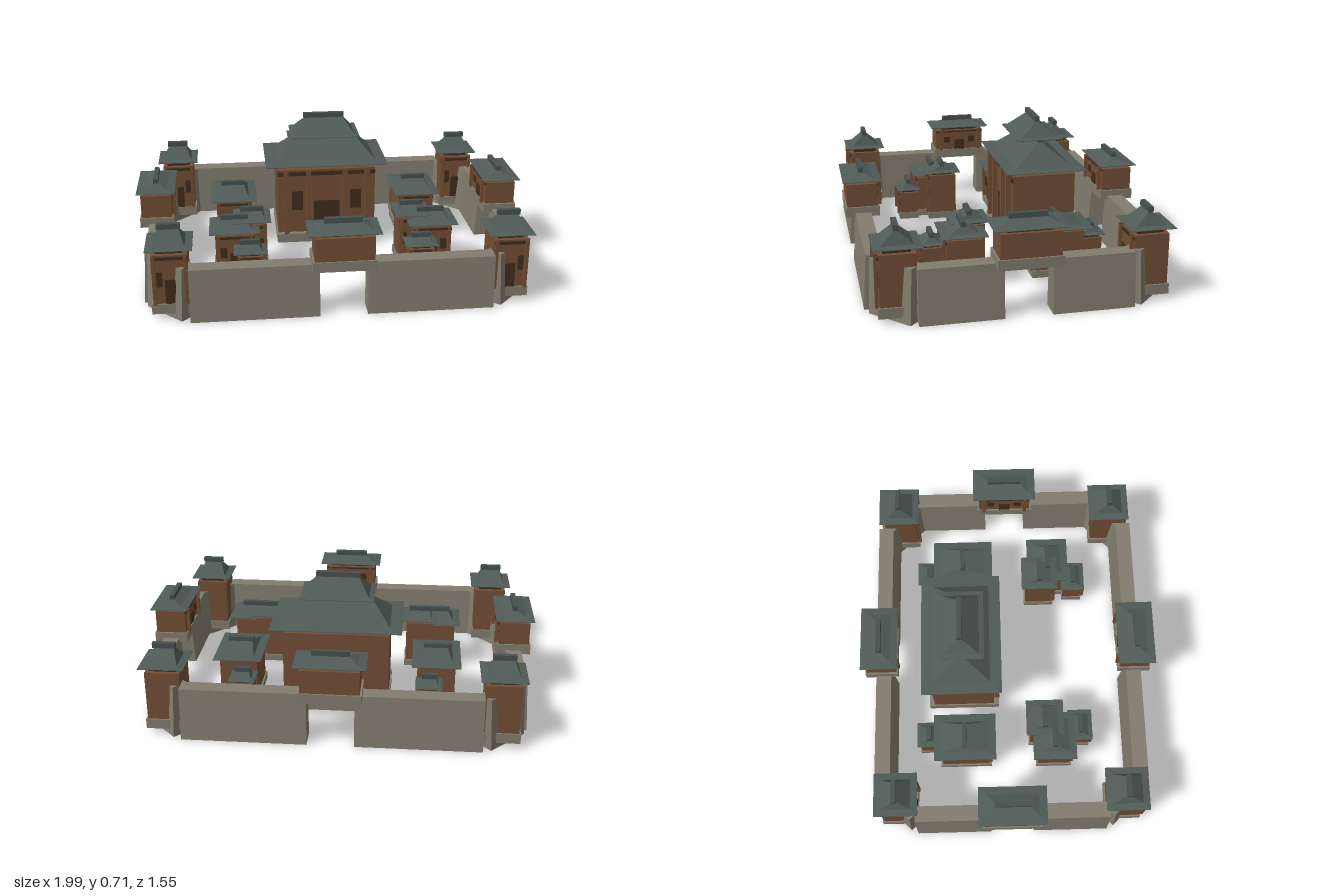
import * as THREE from 'three';

const mat = (name, color) => {
  const m = new THREE.MeshStandardMaterial({ color });
  m.name = name;
  return m;
};

export function createModel() {
  const stone = mat('stone', 0x827c6e);
  const timber = mat('timber', 0x724e35);
  const darkWood = mat('dark wood', 0x412c1d);
  const tile = mat('roof tile', 0x505b57);
  const ridgeTile = mat('ridge tile', 0x465050);
  const model = new THREE.Group();
  model.name = 'walledPalace';

  const add = (parent, name, geometry, material, x = 0, y = 0, z = 0) => {
    const mesh = new THREE.Mesh(geometry, material);
    mesh.name = name;
    mesh.position.set(x, y, z);
    parent.add(mesh);
    return mesh;
  };
  // Box given by its half width, half depth, bottom and top
  const box = (parent, name, hx, hz, y0, y1, material, x = 0, z = 0) =>
    add(parent, name, new THREE.BoxGeometry(hx * 2, y1 - y0, hz * 2), material, x, (y0 + y1) / 2, z);

  // Solid through stacked rectangles [half x, half z, y], with flat faces
  const loft = (rings) => {
    const pos = [];
    const loops = rings.map(([hx, hz, y]) => [[-hx, y, hz], [hx, y, hz], [hx, y, -hz], [-hx, y, -hz]]);
    const quad = (a, b, c, d) => pos.push(...a, ...b, ...c, ...a, ...c, ...d);
    for (let i = 0; i < loops.length - 1; i++) {
      for (let k = 0; k < 4; k++) {
        const n = (k + 1) % 4;
        quad(loops[i][k], loops[i][n], loops[i + 1][n], loops[i + 1][k]);
      }
    }
    quad(...loops[0].slice().reverse());
    quad(...loops[loops.length - 1]);
    const g = new THREE.BufferGeometry();
    g.setAttribute('position', new THREE.Float32BufferAttribute(pos, 3));
    g.computeVertexNormals();
    return g;
  };

  // Hipped roof: shallow eave skirt, steep upper part and a ridge beam
  const roof = (parent, { hx, hz, inset, y, top, ridge, cap = 0.02, capHalf = 0.012, over = 0.01 }) => {
    add(parent, 'roof', loft([
      [hx, hz, y], [hx, hz, y + 0.003], [hx - inset, hz - inset, y + 0.009], [ridge, 0, top],
    ]), tile);
    box(parent, 'ridgeBeam', ridge + over, capHalf, top - 0.006, top + cap, ridgeTile);
  };

  // Hall facing +z: stone plinth, timber body, posts, door, windows and roof
  const hall = (name, x, z, o) => {
    const g = new THREE.Group();
    g.name = name;
    g.position.set(x, 0, z);
    g.rotation.y = o.turn || 0;
    const { bx, bz, y0, y1, y2 } = o;
    const h = y2 - y1;
    box(g, 'plinth', o.px, o.pz, y0, y1, stone);
    box(g, 'body', bx, bz, y1, y2, timber);
    box(g, 'topBeam', bx * 0.75, bz * 0.75, y2, o.roof.y, darkWood);
    const r = o.post;
    o.posts.forEach((p) => {
      for (const s of [-1, 1]) box(g, 'post', r, r, y1, y2 + 0.01, timber, s * p, bz + r + 0.004);
    });
    box(g, 'door', o.door, 0.003, y1, y1 + h * 0.5, darkWood, 0, bz + 0.002);
    for (const s of [-1, 1]) {
      box(g, 'window', o.window, 0.003, y1 + h * 0.36, y1 + h * 0.66, darkWood, s * o.windowX, bz + 0.002);
    }
    box(g, 'lintel', bx, 0.004, y2 - h * 0.09, y2 - h * 0.03, darkWood, 0, bz + 0.003);
    roof(g, o.roof);
    model.add(g);
    return g;
  };

  // Battered curtain walls with a gap in the middle of each side
  const wall = (name, half, x, z, turn) => {
    const w = add(model, name, loft([[half, 0.056, 0], [half, 0.04, 0.267]]), stone, x, 0, z);
    w.rotation.y = turn;
  };
  for (const s of [-1, 1]) {
    for (const t of [-1, 1]) {
      wall(s > 0 ? 'frontWall' : 'backWall', 0.307, t * 0.422, s * 0.672, 0);
      wall('sideWall', 0.195, s * 0.9, t * 0.308, Math.PI / 2);
      wall('cornerWall', 0.12, s * 0.815, t * 0.585, s * t * Math.PI / 4);
    }
  }

  // Gatehouses bridge the gaps and face the courtyard
  const gate = {
    px: 0.152, pz: 0.086, y0: 0.247, y1: 0.297, bx: 0.142, bz: 0.078, y2: 0.415,
    post: 0.008, posts: [0.115], door: 0.03, window: 0.018, windowX: 0.075,
    roof: { hx: 0.172, hz: 0.097, inset: 0.04, y: 0.434, top: 0.468, ridge: 0.08 },
  };
  hall('frontGatehouse', 0, 0.673, { ...gate, turn: Math.PI });
  hall('backGatehouse', 0, -0.68, gate);
  hall('leftGatehouse', 0.9, 0, { ...gate, turn: -Math.PI / 2 });
  hall('rightGatehouse', -0.9, 0, { ...gate, turn: Math.PI / 2 });

  // Corner towers
  const tower = {
    px: 0.093, pz: 0.093, y0: 0.03, y1: 0.08, bx: 0.085, bz: 0.085, y2: 0.33,
    post: 0.008, posts: [0.075], door: 0.025, window: 0.014, windowX: 0.05,
    roof: { hx: 0.11, hz: 0.11, inset: 0.035, y: 0.359, top: 0.435, ridge: 0.046 },
  };
  for (const s of [-1, 1]) {
    hall('frontTower', s * 0.815, 0.585, tower);
    hall('backTower', s * 0.815, -0.592, tower);
  }

  // Main hall with two stacked roofs
  const main = hall('mainHall', 0, -0.247, {
    px: 0.272, pz: 0.19, y0: 0.03, y1: 0.08, bx: 0.265, bz: 0.163, y2: 0.443,
    post: 0.013, posts: [0.22, 0.1], door: 0.07, window: 0.03, windowX: 0.16,
    roof: { hx: 0.327, hz: 0.208, inset: 0.06, y: 0.472, top: 0.598, ridge: 0.155, cap: 0.012, over: 0.02 },
  });
  roof(main, { hx: 0.185, hz: 0.122, inset: 0.025, y: 0.604, top: 0.693, ridge: 0.1 });

  // Courtyard houses: half width, half depth of the roof, eave and ridge heights
  const house = (name, x, z, hx, hz, eave, top, ridge) => {
    for (const s of [-1, 1]) {
      hall(name, s * x, z, {
        px: hx * 0.84, pz: hz * 0.84, y0: 0.03, y1: 0.065, bx: hx * 0.77, bz: hz * 0.76, y2: eave - 0.018,
        post: 0.007, posts: [hx * 0.66], door: hx * 0.2, window: hx * 0.13, windowX: hx * 0.45,
        roof: { hx, hz, inset: Math.min(hx, hz) * 0.35, y: eave, top, ridge, cap: 0.018 },
      });
    }
  };
  house('backHouse', 0.503, -0.24, 0.123, 0.163, 0.272, 0.317, 0.055);
  house('backShed', 0.468, -0.43, 0.067, 0.065, 0.2, 0.238, 0.03);
  house('innerHouse', 0.415, 0.183, 0.095, 0.098, 0.3, 0.337, 0.05);
  house('outerHouse', 0.507, 0.232, 0.127, 0.113, 0.272, 0.317, 0.06);
  house('frontShed', 0.433, 0.373, 0.083, 0.065, 0.2, 0.238, 0.04);
  return model;
}
